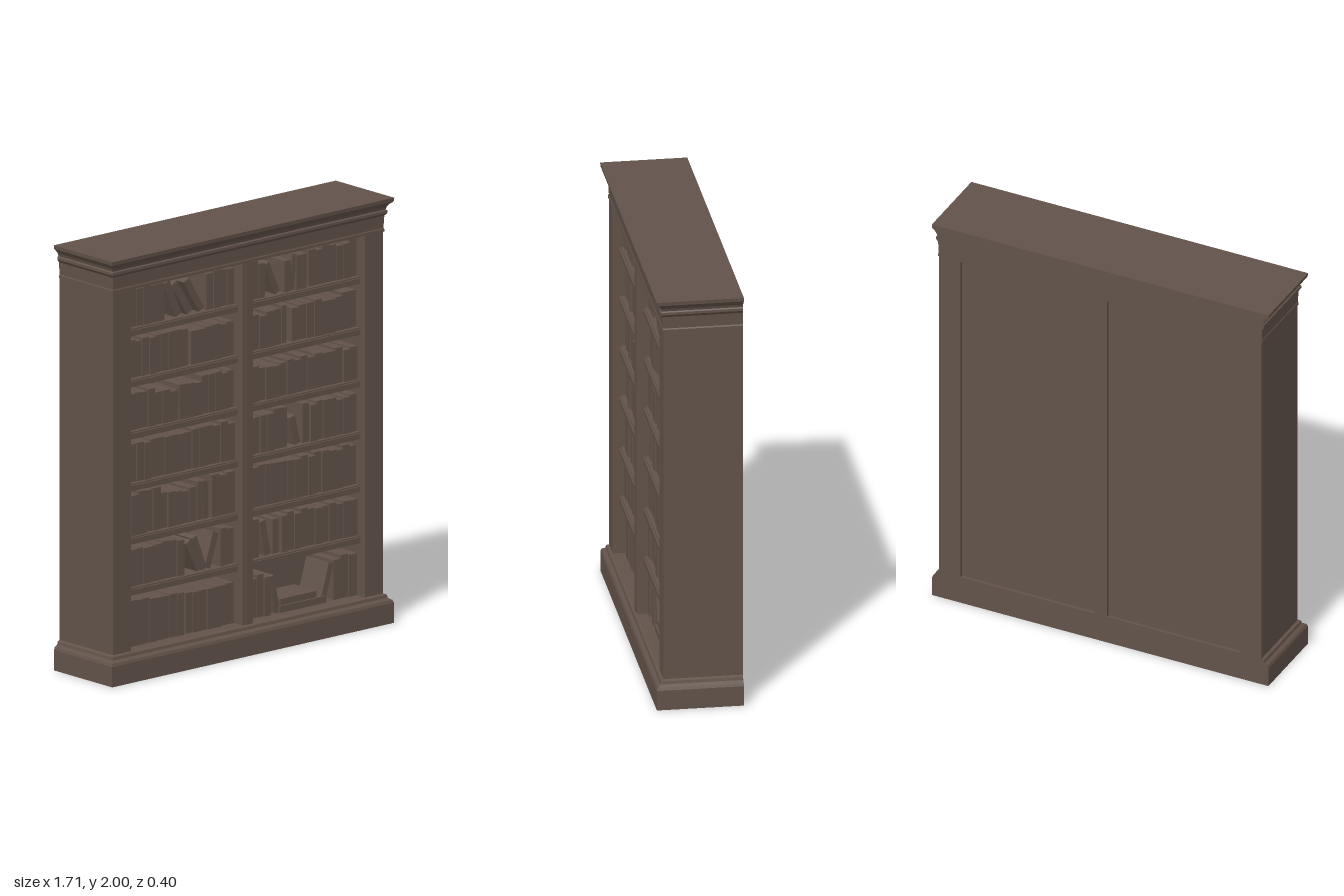
import * as THREE from 'three';

const BACK = -0.2;
const FRONT = 0.165;
const SIDE = 0.82;

export function createModel() {
  const group = new THREE.Group();
  group.name = 'bookcase';
  const wood = new THREE.MeshStandardMaterial({ color: 0x62534a });
  wood.name = 'dark brown wood';

  const add = (name, geometry, parent = group) => {
    const mesh = new THREE.Mesh(geometry, wood);
    mesh.name = name;
    parent.add(mesh);
    return mesh;
  };
  const box = (name, x0, x1, y0, y1, z0, z1, parent = group) => {
    const mesh = add(name, new THREE.BoxGeometry(x1 - x0, y1 - y0, z1 - z0), parent);
    mesh.position.set((x0 + x1) / 2, (y0 + y1) / 2, (z0 + z1) / 2);
    return mesh;
  };

  // Mitred moulding: stacked rectangles that step out at the front and sides, flush at the back
  const moulding = (name, profile) => {
    const p = [];
    const quad = (a, b, c, d) => p.push(...a, ...b, ...c, ...a, ...c, ...d);
    const ring = ([out, y]) => [
      [-SIDE - out, y, FRONT + out], [SIDE + out, y, FRONT + out],
      [SIDE + out, y, BACK], [-SIDE - out, y, BACK],
    ];
    const rings = profile.map(ring);
    for (let i = 0; i < rings.length - 1; i++) {
      for (let k = 0; k < 4; k++) {
        const n = (k + 1) % 4;
        quad(rings[i][k], rings[i][n], rings[i + 1][n], rings[i + 1][k]);
      }
    }
    const [a, b, c, d] = rings[0];
    quad(a, d, c, b);
    quad(...rings[rings.length - 1]);
    const g = new THREE.BufferGeometry();
    g.setAttribute('position', new THREE.Float32BufferAttribute(p, 3));
    g.computeVertexNormals();
    add(name, g);
  };

  moulding('plinth', [[0.035, 0], [0.035, 0.095], [0.03, 0.108], [0.015, 0.118], [0.012, 0.132], [0, 0.138]]);
  moulding('cornice', [
    [0.004, 1.84], [0.004, 1.852], [0.001, 1.858], [0.004, 1.915], [0.014, 1.928], [0.014, 1.94],
    [0.008, 1.945], [0.012, 1.958], [0.022, 1.972], [0.034, 1.982], [0.036, 2],
  ]);

  // Carcass with two full-depth bays
  const rect = (Type, x0, x1, y0, y1) => new Type([
    new THREE.Vector2(x0, y0), new THREE.Vector2(x1, y0),
    new THREE.Vector2(x1, y1), new THREE.Vector2(x0, y1),
  ]);
  const bays = [[-0.71, -0.034], [0.03, 0.71]];
  const frame = rect(THREE.Shape, -SIDE, SIDE, 0.1, 1.88);
  bays.forEach(([a, b]) => frame.holes.push(rect(THREE.Path, a, b, 0.138, 1.842)));
  const carcass = new THREE.ExtrudeGeometry(frame, { depth: FRONT - BACK, bevelEnabled: false });
  carcass.translate(0, 0, BACK);
  add('carcass', carcass);
  box('centreBead', -0.018, 0.014, 0.138, 1.842, FRONT - 0.01, FRONT + 0.004);

  // Back panels and shelves
  const floors = [1.64, 1.4, 1.155, 0.91, 0.66, 0.42, 0.138];
  bays.forEach(([a, b]) => {
    box('backPanel', a, b, 0.138, 1.842, BACK + 0.015, -0.05);
    floors.slice(0, 6).forEach((y) => {
      box('shelf', a, b, y - 0.035, y, -0.06, 0.128);
      box('shelfLip', a, b, y - 0.03, y - 0.006, 0.12, 0.136);
    });
  });

  // Seeded variation for the books
  let seed = 7;
  const rand = () => (seed = (seed * 16807) % 2147483647) / 2147483647;

  // Upright runs per shelf: [x from, x to, top]
  const runs = [
    [[-0.71, -0.46, 1.83], [-0.2, -0.034, 1.825], [0.03, 0.15, 1.82], [0.27, 0.31, 1.8], [0.34, 0.4, 1.82], [0.42, 0.71, 1.82]],
    [[-0.71, -0.31, 1.585], [-0.295, -0.034, 1.575], [0.03, 0.25, 1.57], [0.26, 0.29, 1.58], [0.32, 0.71, 1.575]],
    [[-0.71, -0.52, 1.34], [-0.52, -0.38, 1.31], [-0.37, -0.23, 1.32], [-0.225, -0.034, 1.34], [0.03, 0.71, 1.325]],
    [[-0.71, -0.034, 1.1], [0.045, 0.29, 1.1], [0.385, 0.71, 1.095]],
    [[-0.71, -0.48, 0.865], [-0.48, -0.26, 0.83], [-0.25, -0.185, 0.84], [-0.175, -0.034, 0.865], [0.03, 0.71, 0.86]],
    [[-0.71, -0.34, 0.605], [-0.12, -0.034, 0.605], [0.03, 0.12, 0.6], [0.205, 0.24, 0.59], [0.25, 0.71, 0.605]],
    [[-0.71, -0.34, 0.355], [-0.325, -0.034, 0.345], [0.03, 0.185, 0.34], [0.57, 0.71, 0.345]],
  ];
  // Leaning books: [shelf, x at foot, x at head, head height, thickness]
  const leaning = [
    [0, -0.365, -0.445, 1.82, 0.04], [0, -0.295, -0.4, 1.81, 0.04], [0, -0.225, -0.325, 1.81, 0.035],
    [0, 0.235, 0.165, 1.8, 0.03], [0, 0.32, 0.335, 1.81, 0.025],
    [2, -0.385, -0.375, 1.3, 0.02], [3, 0.355, 0.32, 1.05, 0.035], [4, -0.205, -0.215, 0.84, 0.03],
    [5, -0.235, -0.315, 0.575, 0.035], [5, -0.21, -0.275, 0.59, 0.03], [5, -0.195, -0.14, 0.59, 0.035],
    [5, 0.175, 0.14, 0.59, 0.035], [6, 0.235, 0.195, 0.32, 0.03], [6, 0.505, 0.56, 0.32, 0.03],
  ];

  const books = new THREE.Group();
  books.name = 'books';
  group.add(books);

  runs.forEach((row, i) => row.forEach(([x0, x1, top]) => {
    const count = Math.max(1, Math.round((x1 - x0) / 0.042));
    const w = (x1 - x0) / count;
    for (let k = 0; k < count; k++) {
      const x = x0 + k * w;
      box('book', x, x + w, floors[i], top - rand() * 0.02, -0.06, 0.102 + rand() * 0.014, books);
    }
  }));

  leaning.forEach(([i, foot, head, top, w]) => {
    const y = floors[i];
    const angle = Math.atan2(foot - head, top - y);
    const length = Math.hypot(foot - head, top - y) - w * Math.abs(Math.sin(angle));
    const book = box('leaningBook', -w / 2, w / 2, 0, length, -0.06, 0.105, books);
    book.position.set((foot + head) / 2, (y + top) / 2, 0.0225);
    book.rotation.z = angle;
  });

  // Books lying flat on the lowest shelf
  box('lyingBook', 0.235, 0.52, 0.138, 0.17, -0.06, 0.115, books);
  box('lyingBook', 0.25, 0.47, 0.17, 0.2, -0.06, 0.105, books);

  return group;
}
